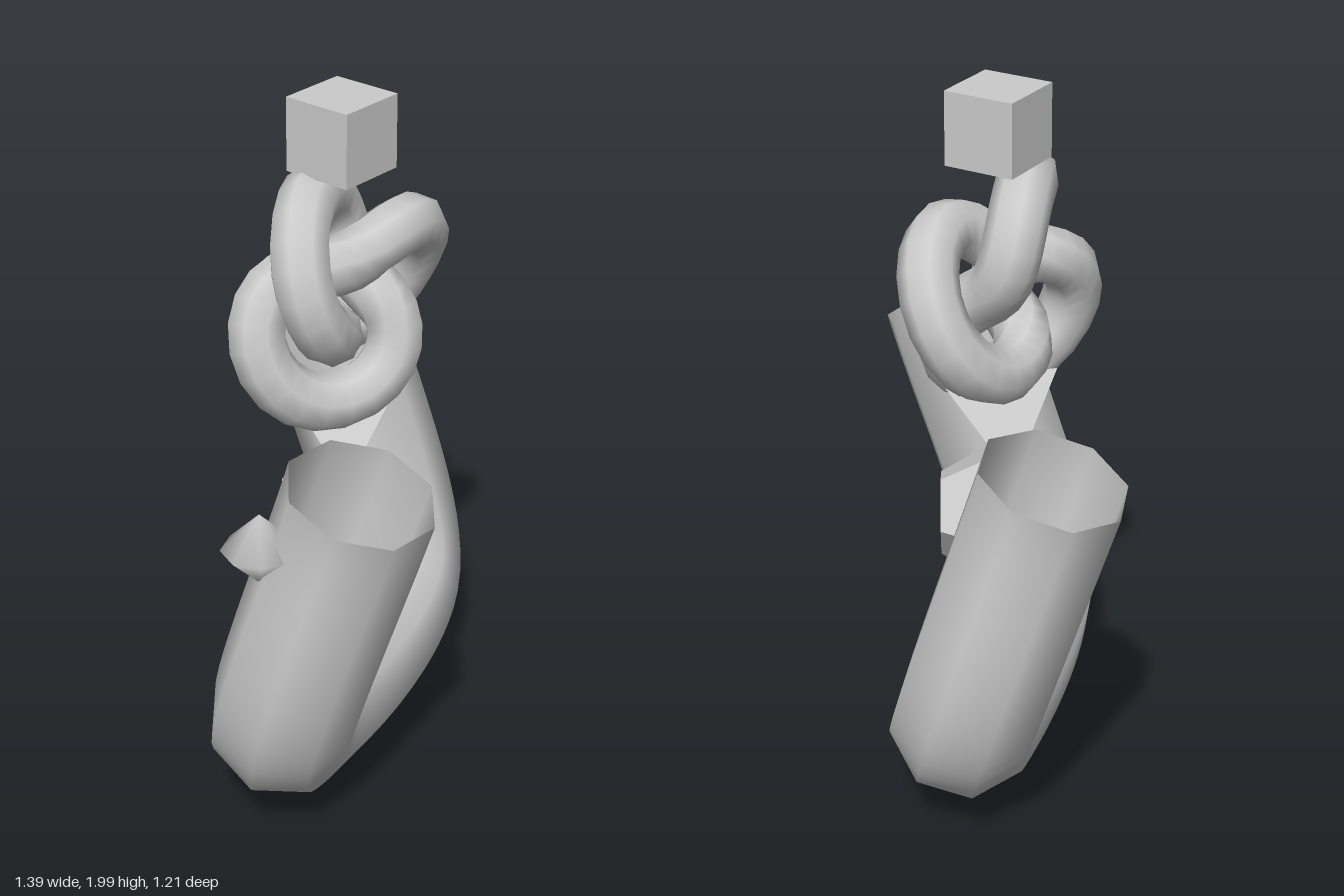
import * as THREE from 'three';

const UNIT = 0.205; // base size shared by all the solids
const OFFSET = 0.004; // stack axis in x and z

export function createModel() {
  const model = new THREE.Group();
  const smooth = new THREE.MeshStandardMaterial({ color: 0xcccccc });
  const flat = new THREE.MeshStandardMaterial({ color: 0xcccccc, flatShading: true });
  const open = new THREE.MeshStandardMaterial({ color: 0xcccccc, side: THREE.DoubleSide });

  function add(name, geometry, material, x, y, z) {
    const mesh = new THREE.Mesh(geometry, material);
    mesh.name = name;
    mesh.position.set(x, y, z);
    model.add(mesh);
  }

  // Central stack, top to bottom
  add('cube', new THREE.BoxGeometry(UNIT, UNIT, UNIT), flat, OFFSET, 1.8975, OFFSET);
  add('knot', new THREE.TorusKnotGeometry(UNIT, 0.4 * UNIT, 64, 8), smooth, OFFSET, 1.44, 0);
  add('tetrahedron', new THREE.TetrahedronGeometry(UNIT), flat, OFFSET, 1.057, OFFSET);
  add('dodecahedron', new THREE.DodecahedronGeometry(UNIT), flat, OFFSET, 0.75, OFFSET);

  // Open, twisted U-shaped tube
  const path = new THREE.CatmullRomCurve3([
    new THREE.Vector3(0.416, 1.148, -0.415),
    new THREE.Vector3(0.416, 0.314, -0.138),
    new THREE.Vector3(-0.416, 0.314, 0.138),
    new THREE.Vector3(-0.416, 1.148, 0.415),
  ]);
  add('bentTube', new THREE.TubeGeometry(path, 64, UNIT, 8, false), open, OFFSET, 0, OFFSET);

  // Small low-poly ball set into the wall of the right arm
  add('smallBall', new THREE.SphereGeometry(0.5 * UNIT, 8, 2), smooth, -0.597, 1.0, 0.235);

  return model;
}
